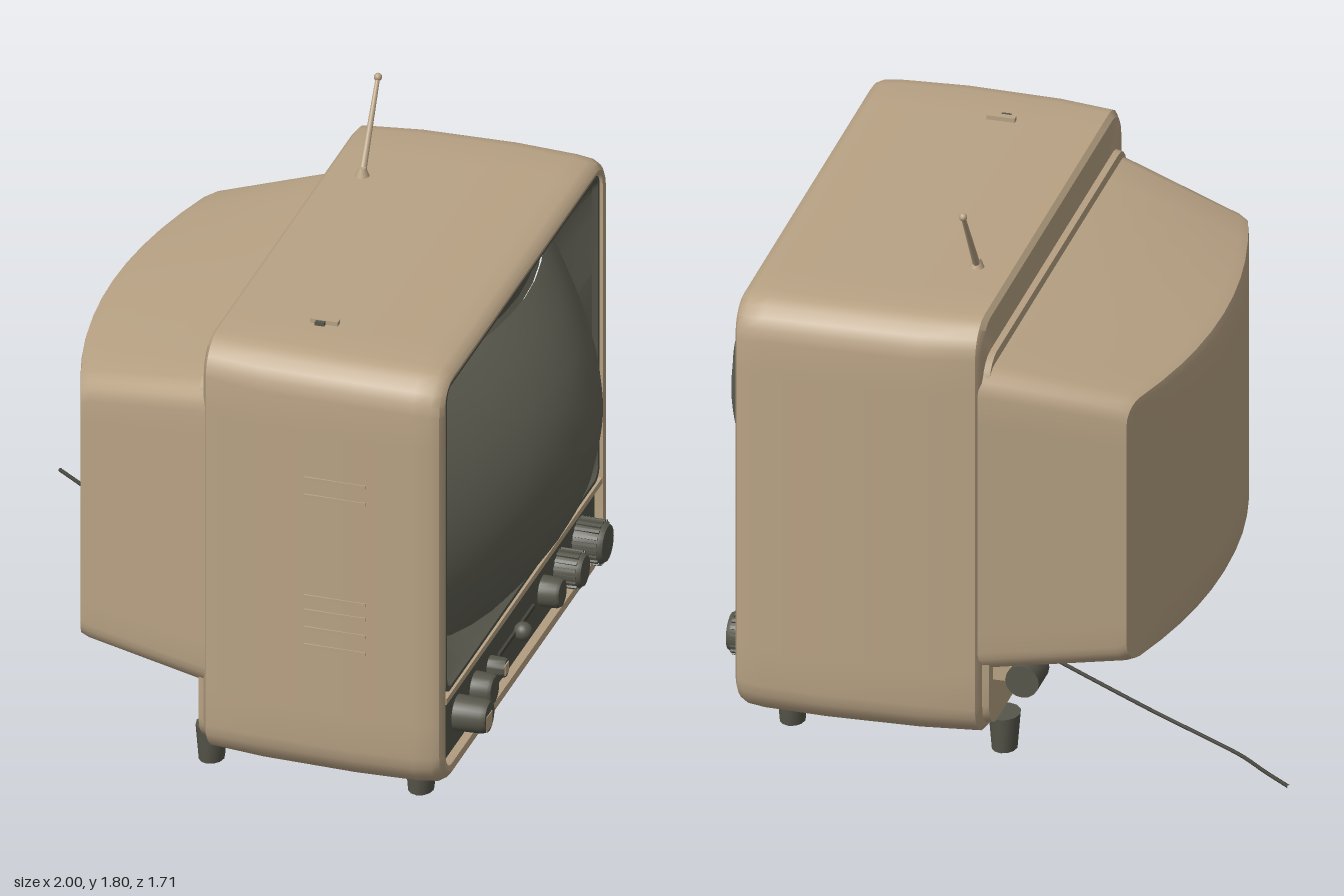
import * as THREE from 'three';
import { toCreasedNormals } from 'three/addons/utils/BufferGeometryUtils.js';

const material = (name, color) => {
  const m = new THREE.MeshStandardMaterial({ color });
  m.name = name;
  return m;
};

// Rounded rectangle in the y-z plane; x is a number or a rule of (y, z).
// With a power, the outline becomes a barrel-like superellipse.
function ring(x, y0, y1, hz, r, scale = 1, power = 0) {
  const cy = (y0 + y1) / 2, hy = (y1 - y0) / 2, pts = [];
  const corners = [[1, 1], [-1, 1], [-1, -1], [1, -1]];
  corners.forEach(([sz, sy], k) => {
    const arc = [];
    for (let i = 0; i <= 5; i++) {
      const a = (k + i / 5) * Math.PI / 2;
      arc.push([sz * (hz - r) + r * Math.cos(a), sy * (hy - r) + r * Math.sin(a)]);
    }
    pts.push(...arc);
    // Subdivide the straight run to the next corner
    const [nz, ny] = corners[(k + 1) % 4];
    const a = (k + 1) * Math.PI / 2;
    const end = [nz * (hz - r) + r * Math.cos(a), ny * (hy - r) + r * Math.sin(a)];
    const start = arc[5];
    for (let i = 1; i < 10; i++) {
      const t = i / 10;
      pts.push([start[0] + (end[0] - start[0]) * t, start[1] + (end[1] - start[1]) * t]);
    }
  });
  return pts.map(([z, y]) => {
    let k = scale;
    if (power) k /= Math.pow(Math.abs(z / hz) ** power + Math.abs(y / hy) ** power, 1 / power);
    const Z = z * k, Y = cy + y * k;
    return [typeof x === 'function' ? x(Y, Z) : x, Y, Z];
  });
}

// Skin a list of matching rings
function loft(rings, crease = 0.6) {
  const n = rings[0].length, index = [];
  for (let i = 0; i < rings.length - 1; i++) {
    for (let j = 0; j < n; j++) {
      const a = i * n + j, d = i * n + (j + 1) % n;
      index.push(a, a + n, d + n, a, d + n, d);
    }
  }
  const g = new THREE.BufferGeometry();
  g.setAttribute('position', new THREE.Float32BufferAttribute(rings.flat(2), 3));
  g.setIndex(index);
  return toCreasedNormals(g, crease);
}

export function createModel() {
  const model = new THREE.Group();
  model.name = 'television';
  const tan = material('tan casing', 0xb8a284);
  const dark = material('dark trim', 0x56564b);
  const glass = material('screen glass', 0x626256);
  const cord = material('dark cord', 0x45443c);

  const add = (name, geometry, mat, x = 0, y = 0, z = 0, parent = model) => {
    const m = new THREE.Mesh(geometry, mat);
    m.name = name;
    m.position.set(x, y, z);
    parent.add(m);
    return m;
  };
  const box = (name, mat, x, y, z, w, h, d) =>
    add(name, new THREE.BoxGeometry(w, h, d), mat, x, y, z);

  // Front cabinet: closed back, rounded sides, rolled front rim
  add('cabinet', loft([
    ring(0.005, 0.115, 1.515, 0.79, 0.1, 0.001),
    ring(0.005, 0.115, 1.515, 0.79, 0.1),
    ring(0.02, 0.1, 1.53, 0.815, 0.11),
    ring(0.2, 0.097, 1.535, 0.842, 0.12),
    ring(0.5, 0.095, 1.535, 0.85, 0.12),
    ring(0.7, 0.095, 1.53, 0.843, 0.12),
    ring(0.755, 0.1, 1.525, 0.838, 0.12),
    ring(0.78, 0.115, 1.513, 0.825, 0.11),
    ring(0.79, 0.135, 1.497, 0.805, 0.09),
    ring(0.787, 0.155, 1.483, 0.783, 0.06),
    ring(0.75, 0.165, 1.478, 0.778, 0.05),
    ring(0.75, 0.19, 1.455, 0.75, 0.04),
  ]), tan);

  // Rear housing: tapers backward and ends in a bowed panel
  const bow = z => 0.13 * (1 - (z / 0.69) ** 2);
  const rear = [0.001, 0.25, 0.5, 0.75, 1].map(s =>
    ring((y, z) => -0.425 - bow(z), 0.385, 1.235, 0.655, 0.06, s));
  rear.push(
    ring((y, z) => -0.425 - bow(z) * 0.93, 0.367, 1.262, 0.682, 0.07),
    ring((y, z) => -0.4 - bow(z) * 0.85, 0.358, 1.277, 0.69, 0.07),
    ring(0.02, 0.325, 1.375, 0.808, 0.08));
  add('rearHousing', loft(rear), tan);
  add('rearFlange', loft([
    ring(-0.015, 0.125, 1.4, 0.78, 0.09, 0.001),
    ring(-0.015, 0.125, 1.4, 0.78, 0.09),
    ring(0.02, 0.12, 1.405, 0.79, 0.09)]), tan);

  // Domed picture tube and the mask that slopes down to it
  const dome = (y, z) => {
    const Y2 = (y - 0.93) ** 2, Z2 = z * z;
    return 1 - 0.9 * Y2 - 0.62 * Z2 + 0.75 * Y2 * Z2;
  };
  const tube = (s, x = dome) => ring(x, 0.445, 1.415, 0.665, 0.05, s, 5);
  add('screen', loft([1, 0.97, 0.9, 0.8, 0.7, 0.55, 0.4, 0.2, 0.001].map(s => tube(s)), 1), glass);
  add('screenMask', loft([
    ring(0.745, 0.408, 1.477, 0.768, 0.04),
    ring(0.782, 0.41, 1.475, 0.765, 0.04),
    ring(0.782, 0.422, 1.465, 0.752, 0.04),
    ring(0.765, 0.427, 1.46, 0.745, 0.05),
    tube(1.01, (y, z) => dome(y, z) - 0.015),
    tube(0.98, (y, z) => dome(y, z) - 0.015)], 0.4), dark);

  // Control strip
  box('controlPanel', dark, 0.74, 0.272, 0, 0.05, 0.215, 1.535);
  box('dividerStrip', tan, 0.76, 0.395, 0, 0.056, 0.02, 1.55);
  box('sliderTrack', cord, 0.768, 0.267, 0.025, 0.012, 0.014, 0.35);
  add('sliderKnob', new THREE.SphereGeometry(0.03, 20, 14), dark, 0.79, 0.267, 0.02);

  // Knobs: z, radius, outer x, number of grip ribs
  const knobs = [[0.6, 0.055, 0.87, 0], [0.425, 0.05, 0.83, 0], [0.275, 0.032, 0.82, 0],
    [-0.25, 0.048, 0.83, 0], [-0.415, 0.055, 0.85, 16], [-0.61, 0.066, 0.86, 20]];
  knobs.forEach(([z, r, end, ribs]) => {
    const knob = new THREE.Group();
    knob.name = 'knob';
    knob.position.set(0.76, 0.27, z);
    knob.rotation.z = -Math.PI / 2;
    model.add(knob);
    const h = end - 0.76;
    const profile = [[0, 0], [r * 1.05, 0], [r, h * 0.85], [r * 0.88, h], [0, h]]
      .map(p => new THREE.Vector2(...p));
    add('knobBody', toCreasedNormals(new THREE.LatheGeometry(profile, 28), 0.6), dark, 0, 0, 0, knob);
    for (let i = 0; i < ribs; i++) {
      const a = i / ribs * Math.PI * 2;
      const rib = add('knobRib', new THREE.BoxGeometry(0.014, h * 0.8, 0.01), dark,
        r * Math.cos(a), h * 0.45, r * Math.sin(a), knob);
      rib.rotation.y = -a;
    }
  });
  box('knobMarker', tan, 0.868, 0.258, 0.605, 0.009, 0.05, 0.055);
  box('smallKnobMarker', tan, 0.819, 0.272, 0.28, 0.009, 0.035, 0.035);

  // Feet
  for (const x of [-0.022, 0.657]) {
    for (const z of [-0.625, 0.625]) {
      add('foot', toCreasedNormals(new THREE.CylinderGeometry(0.062, 0.05, 0.12, 12), 0.6),
        dark, x, 0.06, z).scale.x = 0.8;
    }
  }

  // Rear adjuster under the housing
  const adjuster = add('rearAdjuster',
    toCreasedNormals(new THREE.CylinderGeometry(0.054, 0.054, 0.12, 16), 0.6), dark, -0.115, 0.302, -0.7);
  adjuster.rotation.x = Math.PI / 2;
  box('adjusterBracket', tan, -0.06, 0.31, -0.7, 0.12, 0.05, 0.07);

  // Antenna with a flared base and a ball tip
  const base = new THREE.Vector3(0.13, 1.53, -0.4), tip = new THREE.Vector3(0.125, 1.79, -0.578);
  const dir = tip.clone().sub(base), mid = base.clone().add(tip).multiplyScalar(0.5);
  const rod = add('antennaRod', new THREE.CylinderGeometry(0.007, 0.012, dir.length(), 12),
    tan, mid.x, mid.y, mid.z);
  rod.quaternion.setFromUnitVectors(new THREE.Vector3(0, 1, 0), dir.normalize());
  add('antennaTip', new THREE.SphereGeometry(0.013, 12, 8), tan, tip.x, tip.y, tip.z);
  add('antennaBase', new THREE.CylinderGeometry(0.012, 0.024, 0.03, 14), tan, 0.13, 1.546, -0.405);

  // Folded catch on the top
  box('topCatch', tan, 0.325, 1.54, 0.565, 0.09, 0.018, 0.022);
  box('topCatchTab', dark, 0.315, 1.54, 0.58, 0.03, 0.014, 0.02);

  // Faint side louvres
  for (const y of [0.56, 0.62, 0.68, 0.73, 1.08, 1.14]) {
    box('louvre', tan, 0.45, y, 0.849, 0.2, 0.012, 0.008);
  }

  // Power cord
  const path = new THREE.CatmullRomCurve3([[0.02, -0.16], [-0.25, -0.34], [-0.48, -0.49],
    [-0.66, -0.6], [-0.8, -0.69], [-0.9, -0.775], [-0.995, -0.85]]
    .map(([x, z]) => new THREE.Vector3(x, 0.107, z)));
  add('powerCord', new THREE.TubeGeometry(path, 40, 0.006, 8), cord);
  return model;
}
